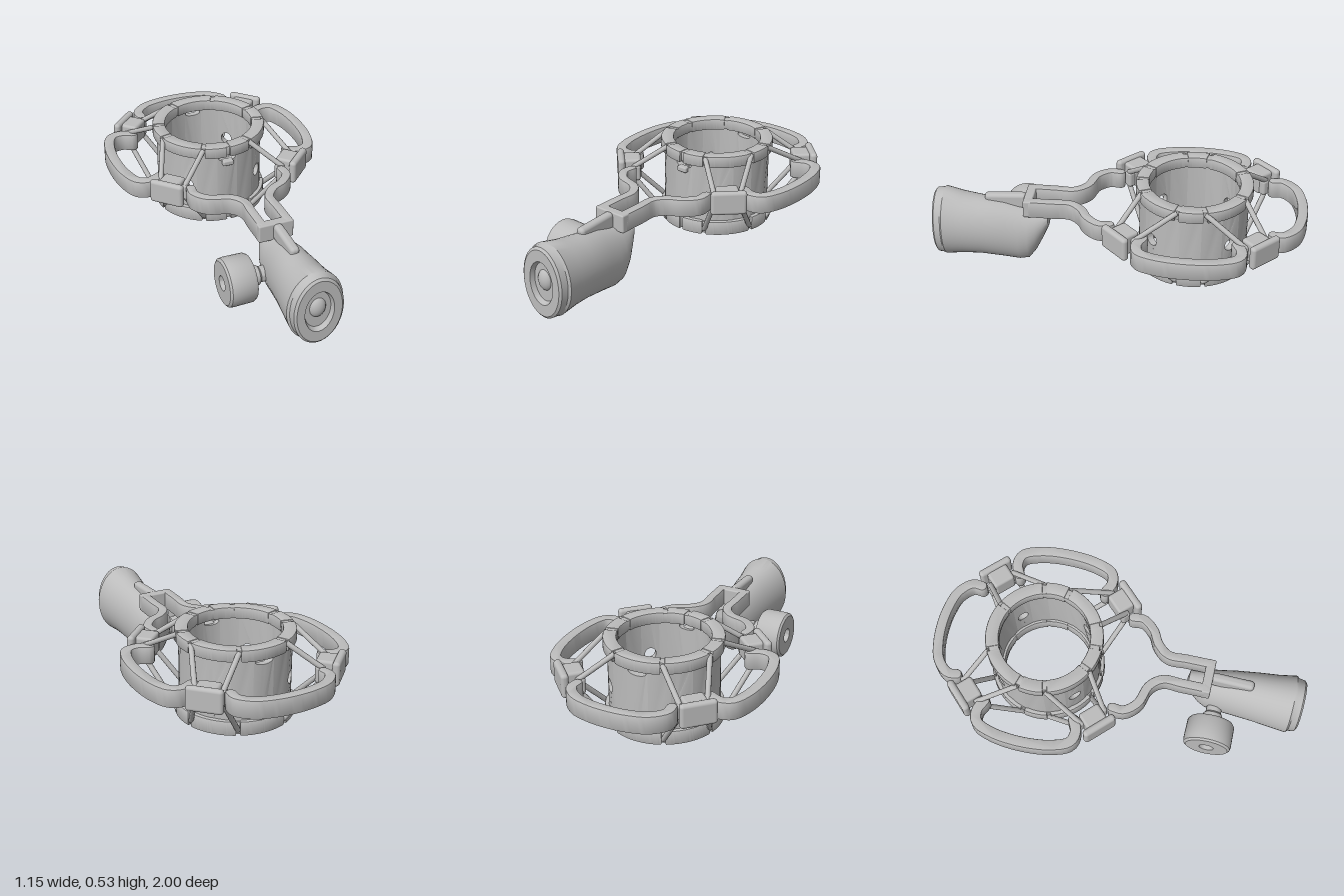
import * as THREE from 'three';
import { toCreasedNormals, mergeVertices } from 'three/addons/utils/BufferGeometryUtils.js';
import { RoundedBoxGeometry } from 'three/addons/geometries/RoundedBoxGeometry.js';

const grey = new THREE.MeshStandardMaterial({ color: 0xbcbcbc });
grey.name = 'grey plastic';
const RAD = Math.PI / 180;

function add(parent, name, geometry, x = 0, y = 0, z = 0) {
  const mesh = new THREE.Mesh(geometry, grey);
  mesh.name = name;
  mesh.position.set(x, y, z);
  parent.add(mesh);
  return mesh;
}

// Extrudes a plan shape (x, z) upwards from y0 to y1 with softened edges
function slab(shape, y0, y1, bevel = 0.008) {
  const g = new THREE.ExtrudeGeometry(shape, {
    depth: y1 - y0 - 2 * bevel, bevelThickness: bevel, bevelSize: bevel,
    bevelOffset: -bevel, bevelSegments: 2, curveSegments: 20,
  });
  g.rotateX(Math.PI / 2).translate(0, y1 - bevel, 0);
  return toCreasedNormals(g, 0.7);
}

// Flat band of constant width with round ends, following plan points [x, z]
function band(points, width, y0, y1) {
  const curve = new THREE.CatmullRomCurve3(points.map(([x, z]) => new THREE.Vector3(x, z, 0)), false, 'centripetal');
  const n = 40, h = width / 2, right = [], left = [];
  for (let i = 0; i <= n; i++) {
    const p = curve.getPointAt(i / n), t = curve.getTangentAt(i / n);
    right.push(new THREE.Vector2(p.x + t.y * h, p.y - t.x * h));
    left.unshift(new THREE.Vector2(p.x - t.y * h, p.y + t.x * h));
  }
  const cap = (u) => {
    const p = curve.getPointAt(u), t = curve.getTangentAt(u);
    const start = Math.atan2(t.y, t.x) + (u ? -Math.PI / 2 : Math.PI / 2);
    return [1, 2, 3, 4, 5].map((k) => new THREE.Vector2(
      p.x + h * Math.cos(start + k * Math.PI / 6), p.y + h * Math.sin(start + k * Math.PI / 6)));
  };
  return slab(new THREE.Shape([...right, ...cap(1), ...left, ...cap(0)]), y0, y1);
}

// Ring sector between two plan angles in degrees
function sector(r0, r1, a0, a1, y0, y1) {
  const s = new THREE.Shape();
  s.absarc(0, 0, r1, a0 * RAD, a1 * RAD, false);
  s.absarc(0, 0, r0, a1 * RAD, a0 * RAD, true);
  s.closePath();
  return slab(s, y0, y1);
}

// Wall panel bent round the y axis, with an optional elliptical hole
function wallPanel(angle, hole) {
  const R = 0.28, y0 = 0.1, y1 = 0.5, half = R * Math.PI / 16, pts = [];
  for (let i = 0; i <= 4; i++) pts.push(new THREE.Vector2(-half + half * i / 2, y0));
  for (let i = 4; i >= 0; i--) pts.push(new THREE.Vector2(-half + half * i / 2, y1));
  const shape = new THREE.Shape(pts);
  if (hole) shape.holes.push(new THREE.Path().absellipse(0, hole.y, hole.rx, hole.ry, 0, Math.PI * 2, true));
  const g = new THREE.ExtrudeGeometry(shape, { depth: 0.035, bevelEnabled: false, curveSegments: 16 });
  const p = g.attributes.position;
  for (let i = 0; i < p.count; i++) {
    const a = angle + p.getX(i) / R, r = 0.255 + p.getZ(i);
    p.setXYZ(i, r * Math.sin(a), p.getY(i), r * Math.cos(a));
  }
  return toCreasedNormals(g, 0.7);
}

function rod(a, b, radius) {
  const g = new THREE.CylinderGeometry(radius, radius, a.distanceTo(b), 10);
  const q = new THREE.Quaternion().setFromUnitVectors(new THREE.Vector3(0, 1, 0), b.clone().sub(a).normalize());
  return g.applyQuaternion(q).translate((a.x + b.x) / 2, (a.y + b.y) / 2, (a.z + b.z) / 2);
}

// Closed loft along z through ellipses [z, cx, cy, rx, ry], front to back
function loft(rows, sides = 40) {
  const pos = [], idx = [];
  for (const [z, cx, cy, rx, ry] of rows)
    for (let j = 0; j < sides; j++) {
      const a = j / sides * Math.PI * 2;
      pos.push(cx + rx * Math.cos(a), cy + ry * Math.sin(a), z);
    }
  for (let i = 0; i < rows.length - 1; i++)
    for (let j = 0; j < sides; j++) {
      const a = i * sides + j, b = i * sides + (j + 1) % sides;
      idx.push(a, a + sides, b, b, a + sides, b + sides);
    }
  const g = new THREE.BufferGeometry();
  g.setAttribute('position', new THREE.Float32BufferAttribute(pos, 3));
  g.setIndex(idx);
  return toCreasedNormals(mergeVertices(g), 0.6);
}

export function createModel() {
  const model = new THREE.Group();
  model.name = 'shockMount';

  // Inner cradle: pierced tube with a segmented rim at top and bottom
  const cradle = new THREE.Group();
  cradle.name = 'cradle';
  cradle.position.z = -0.4;
  model.add(cradle);
  for (let k = 0; k < 16; k++) {
    const hole = k % 4 === 2 ? { y: 0.29, rx: 0.035, ry: 0.035 }
      : k % 8 === 0 ? { y: 0.457, rx: 0.048, ry: 0.017 } : null;
    add(cradle, 'cradleWall', wallPanel(k * Math.PI / 8, hole));
  }
  const cuts = [-14, 14, 64, 90, 116, 166, 194, 244, 296, 346];
  for (const [y0, y1] of [[0.07, 0.15], [0.47, 0.535]]) {
    const ring = new THREE.Shape().absarc(0, 0, 0.297, 0, Math.PI * 2);
    ring.holes.push(new THREE.Path().absarc(0, 0, 0.243, 0, Math.PI * 2, true));
    add(cradle, 'rim', slab(ring, y0 + 0.005, y1 - 0.005, 0.005));
    for (let i = 0; i < cuts.length - 1; i++)
      add(cradle, 'rimSegment', sector(0.24, 0.31, cuts[i] + 2, cuts[i + 1] - 2, y0, y1));
  }
  add(cradle, 'frontCatch', new RoundedBoxGeometry(0.06, 0.03, 0.04, 2, 0.008), 0, 0.432, 0.29);

  // Outer hoop: back arc, two side arcs and the two front arms of the fork
  const Y0 = 0.312, Y1 = 0.41;
  add(model, 'backArc', band([[-0.26, -0.82], [-0.262, -0.87], [-0.2, -0.935], [-0.1, -0.965], [0, -0.973],
    [0.1, -0.965], [0.2, -0.935], [0.262, -0.87], [0.26, -0.82]], 0.055, Y0, Y1));
  for (const s of [-1, 1]) {
    add(model, 'sideArc', band([[0.37, -0.64], [0.43, -0.665], [0.49, -0.65], [0.53, -0.56], [0.547, -0.4],
      [0.53, -0.24], [0.49, -0.15], [0.43, -0.135], [0.37, -0.16]].map(([x, z]) => [x * s, z]), 0.058, Y0, Y1));
    const e = 0.02 + s * 0.07;
    add(model, 'forkArm', band([[s * 0.26, 0.02], [s * 0.262, 0.08], [s * 0.21, 0.145], [e + s * 0.05, 0.185],
      [e, 0.25], [e, 0.35], [e, 0.475]], 0.05, Y0, Y1));
  }
  add(model, 'forkCrossbar', new RoundedBoxGeometry(0.19, 0.098, 0.05, 2, 0.008), 0.02, 0.361, 0.48);

  // Diagonal clips and the elastic cords reaching to both rims
  for (const sx of [-1, 1]) for (const sz of [-1, 1]) {
    const clip = new THREE.Group();
    clip.name = 'clip';
    clip.position.set(0, 0, -0.4);
    clip.rotation.y = Math.atan2(sx, sz);
    model.add(clip);
    add(clip, 'clipPlate', new RoundedBoxGeometry(0.19, 0.13, 0.04, 3, 0.018), 0, 0.375, 0.535);
    add(clip, 'clipBody', new RoundedBoxGeometry(0.12, 0.115, 0.1, 3, 0.015), 0, 0.37, 0.475);
    for (const t of [-1, 1]) {
      add(clip, 'clipLug', new RoundedBoxGeometry(0.05, 0.09, 0.05, 2, 0.015), t * 0.065, 0.36, 0.455);
      const a = t * (t * sx * sz > 0 ? 31 : 19) * RAD;
      // rim anchors sit 14 degrees off the sides and 26 degrees off the front and back
      const anchor = t * sx * sz < 0 ? t * 19 * RAD : t * 31 * RAD;
      const rim = (y) => new THREE.Vector3(0.3 * Math.sin(anchor || a), y, 0.3 * Math.cos(anchor || a));
      add(clip, 'upperCord', rod(new THREE.Vector3(t * 0.07, 0.395, 0.465), rim(0.52), 0.014));
      add(clip, 'lowerCord', rod(new THREE.Vector3(t * 0.07, 0.33, 0.465), rim(0.1), 0.014));
    }
  }

  // Tapered socket with a recessed end and a centre stud
  add(model, 'socket', loft([
    [0.975, 0.03, 0.21, 0.001, 0.001], [0.975, 0.03, 0.21, 0.07, 0.105], [1.0, 0.03, 0.21, 0.078, 0.118],
    [1.0, 0.03, 0.21, 0.12, 0.18], [0.99, 0.03, 0.21, 0.132, 0.193], [0.955, 0.03, 0.211, 0.138, 0.197],
    [0.945, 0.03, 0.211, 0.15, 0.2], [0.85, 0.03, 0.205, 0.138, 0.183], [0.75, 0.033, 0.2, 0.127, 0.175],
    [0.62, 0.035, 0.186, 0.112, 0.174], [0.54, 0.036, 0.17, 0.102, 0.168], [0.49, 0.036, 0.17, 0.096, 0.158],
    [0.45, 0.034, 0.195, 0.085, 0.127], [0.41, 0.031, 0.235, 0.066, 0.085], [0.38, 0.03, 0.27, 0.05, 0.05],
    [0.37, 0.03, 0.27, 0.001, 0.001]]));
  const stud = add(model, 'socketStud', new THREE.SphereGeometry(0.045, 20, 14), 0.03, 0.22, 0.965);
  stud.scale.set(1, 1.3, 0.75);

  // Raised tongue on top of the socket, behind the crossbar
  const tongue = add(model, 'tongue', new RoundedBoxGeometry(0.05, 0.09, 0.23, 3, 0.02), 0.025, 0.36, 0.61);
  tongue.rotation.x = 0.06;

  // Thumbscrew on the right side, turned about the x axis
  const profile = [[0, 0.03], [0.035, 0.03], [0.04, 0], [0.115, 0], [0.127, 0.01], [0.13, 0.03], [0.128, 0.135],
    [0.118, 0.15], [0.055, 0.15], [0.052, 0.19], [0.042, 0.2], [0.042, 0.25], [0, 0.25]];
  const knob = new THREE.LatheGeometry(profile.map(([r, h]) => new THREE.Vector2(r, h)).reverse(), 32);
  knob.scale(1, -1, 1).rotateZ(Math.PI / 2);
  add(model, 'thumbscrew', toCreasedNormals(knob, 0.6), -0.292, 0.153, 0.545);
  return model;
}
